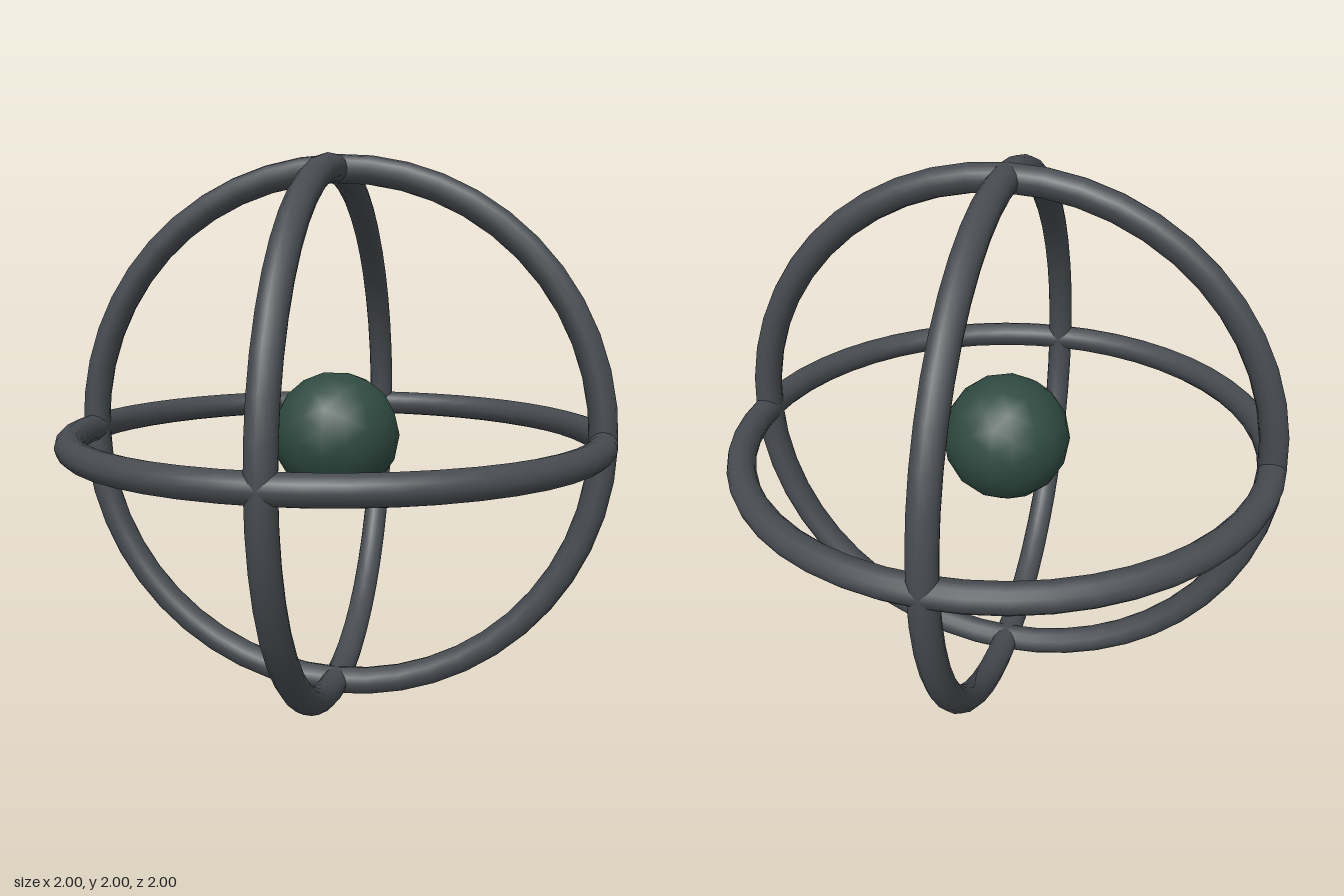
import * as THREE from 'three';

export function createModel() {
  const model = new THREE.Group();
  const ringMaterial = new THREE.MeshStandardMaterial({ color: 0x474b50 });
  const coreMaterial = new THREE.MeshStandardMaterial({ color: 0x2f4a41 });

  // Three equal rings, one in each main plane
  const ringGeometry = new THREE.TorusGeometry(0.95, 0.05, 12, 48);
  const rings = [
    ['frontRing', 0, 0],
    ['sideRing', 0, Math.PI / 2],
    ['levelRing', Math.PI / 2, 0],
  ];
  for (const [name, tiltX, turnY] of rings) {
    const ring = new THREE.Mesh(ringGeometry, ringMaterial);
    ring.name = name;
    ring.rotation.set(tiltX, turnY, 0);
    ring.position.y = 1;
    model.add(ring);
  }

  // Small ball floating at the centre, faceted outline with smooth shading
  const core = new THREE.Mesh(new THREE.IcosahedronGeometry(0.233, 2), coreMaterial);
  core.name = 'coreBall';
  core.position.y = 1;
  model.add(core);

  return model;
}
